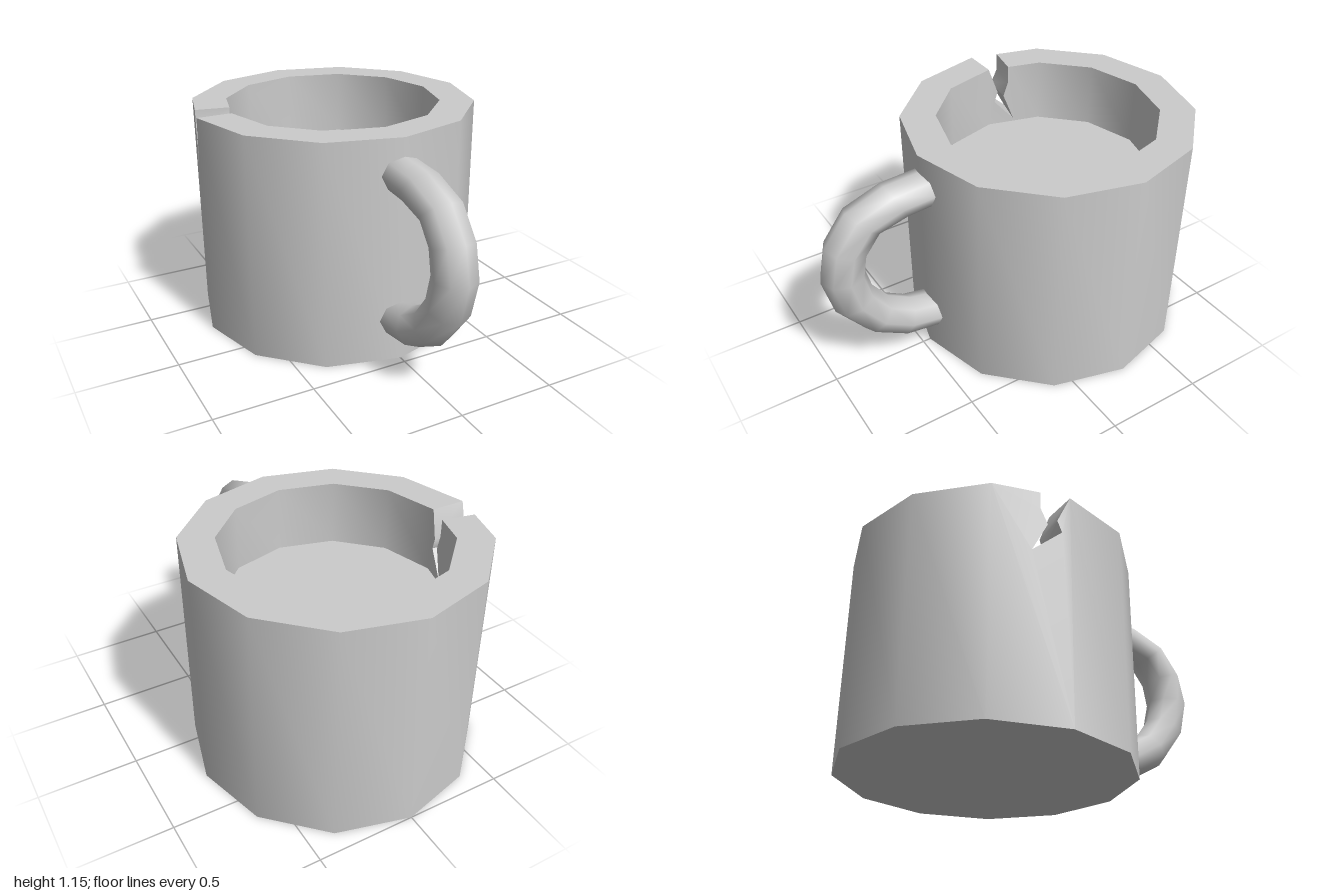
import * as THREE from 'three';
import { mergeGeometries, toCreasedNormals } from 'three/addons/utils/BufferGeometryUtils.js';

const SIDES = 12, R_OUT = 0.73, R_IN = 0.553, HEIGHT = 1.155, FLOOR = 0.82, CENTRE_Z = -0.27;

// Top edge of a plain facet and of the cracked one: [fraction along facet, y]
const PLAIN = [[0, HEIGHT], [1, HEIGHT]];
const CRACKED = [
  [0, 0], [0.17, 0.14], [0.11, 0.2], [0.49, 0.32],
  [0.29, 0.17], [0.38, 0.09], [0.38, 0], [1, 0],
].map(([u, depth]) => [u, HEIGHT - depth]);

// Point on facet k, starting at -x and turning toward -z
function wallPoint(k, u, y, r) {
  const a = (k / SIDES) * Math.PI * 2, b = ((k + 1) / SIDES) * Math.PI * 2;
  return new THREE.Vector3(
    -r * THREE.MathUtils.lerp(Math.cos(a), Math.cos(b), u), y,
    -r * THREE.MathUtils.lerp(Math.sin(a), Math.sin(b), u));
}

// One flat wall panel; dir -1 faces outward, +1 faces inward
function panel(k, top, bottom, r, dir) {
  const outline = [[0, bottom], ...top, [1, bottom]];
  const shape = new THREE.Shape(outline.map(([u, y]) => new THREE.Vector2(dir * u, y)));
  const flat = new THREE.ShapeGeometry(shape).toNonIndexed().attributes.position;
  const points = [];
  for (let i = 0; i < flat.count; i++) points.push(wallPoint(k, dir * flat.getX(i), flat.getY(i), r));
  return new THREE.BufferGeometry().setFromPoints(points);
}

// Wall thickness along the top edge, including the crack faces
function rim(k, top) {
  const points = [];
  for (let i = 0; i < top.length - 1; i++) {
    const [p, q] = [top[i], top[i + 1]];
    const a = wallPoint(k, ...p, R_OUT), b = wallPoint(k, ...p, R_IN);
    const c = wallPoint(k, ...q, R_IN), d = wallPoint(k, ...q, R_OUT);
    points.push(a, b, c, a, c, d);
  }
  return new THREE.BufferGeometry().setFromPoints(points);
}

function wallGeometry() {
  const parts = [];
  for (let k = 0; k < SIDES; k++) {
    const top = k === 0 ? CRACKED : PLAIN;
    parts.push(panel(k, top, 0, R_OUT, -1), panel(k, top, FLOOR, R_IN, 1), rim(k, top));
  }
  return toCreasedNormals(mergeGeometries(parts), 0.7);
}

// Handle: eight-sided rings spanning an outer and an inner curve, as [z, y]
function handleGeometry() {
  const outer = [[0.41, 1.066], [0.64, 1.05], [0.84, 0.975], [0.96, 0.82], [1, 0.64],
    [0.95, 0.44], [0.81, 0.26], [0.63, 0.155], [0.41, 0.125]];
  const inner = [[0.41, 0.885], [0.55, 0.873], [0.69, 0.84], [0.76, 0.75], [0.78, 0.64],
    [0.75, 0.52], [0.67, 0.41], [0.55, 0.34], [0.41, 0.31]];
  const around = 8, halfWidth = 0.105, points = [], index = [];
  outer.forEach(([zo, yo], i) => {
    const [zi, yi] = inner[i];
    for (let j = 0; j < around; j++) {
      const angle = (j / around) * Math.PI * 2, c = Math.cos(angle);
      points.push(new THREE.Vector3(halfWidth * Math.sin(angle),
        (yo + yi + (yo - yi) * c) / 2, (zo + zi + (zo - zi) * c) / 2));
      if (i === outer.length - 1) continue;
      const a = i * around + j, b = i * around + (j + 1) % around;
      index.push(a, a + around, b, b, a + around, b + around);
    }
  });
  const geometry = new THREE.BufferGeometry().setFromPoints(points);
  geometry.setIndex(index);
  geometry.computeVertexNormals();
  return geometry;
}

export function createModel() {
  const model = new THREE.Group();
  model.name = 'crackedMug';
  const material = new THREE.MeshStandardMaterial({ color: 0xcccccc });
  const add = (name, geometry, parent) => {
    const mesh = new THREE.Mesh(geometry, material);
    mesh.name = name;
    parent.add(mesh);
    return mesh;
  };

  // Cup body
  const cup = new THREE.Group();
  cup.name = 'cup';
  cup.position.z = CENTRE_Z;
  model.add(cup);
  add('wall', wallGeometry(), cup);
  add('innerFloor', new THREE.CircleGeometry(R_IN, SIDES).rotateX(-Math.PI / 2), cup).position.y = FLOOR;
  add('base', new THREE.CircleGeometry(R_OUT, SIDES).rotateX(Math.PI / 2), cup);

  // Handle
  const handle = add('handle', handleGeometry(), model);
  handle.material = material.clone();
  handle.material.side = THREE.DoubleSide;

  return model;
}
